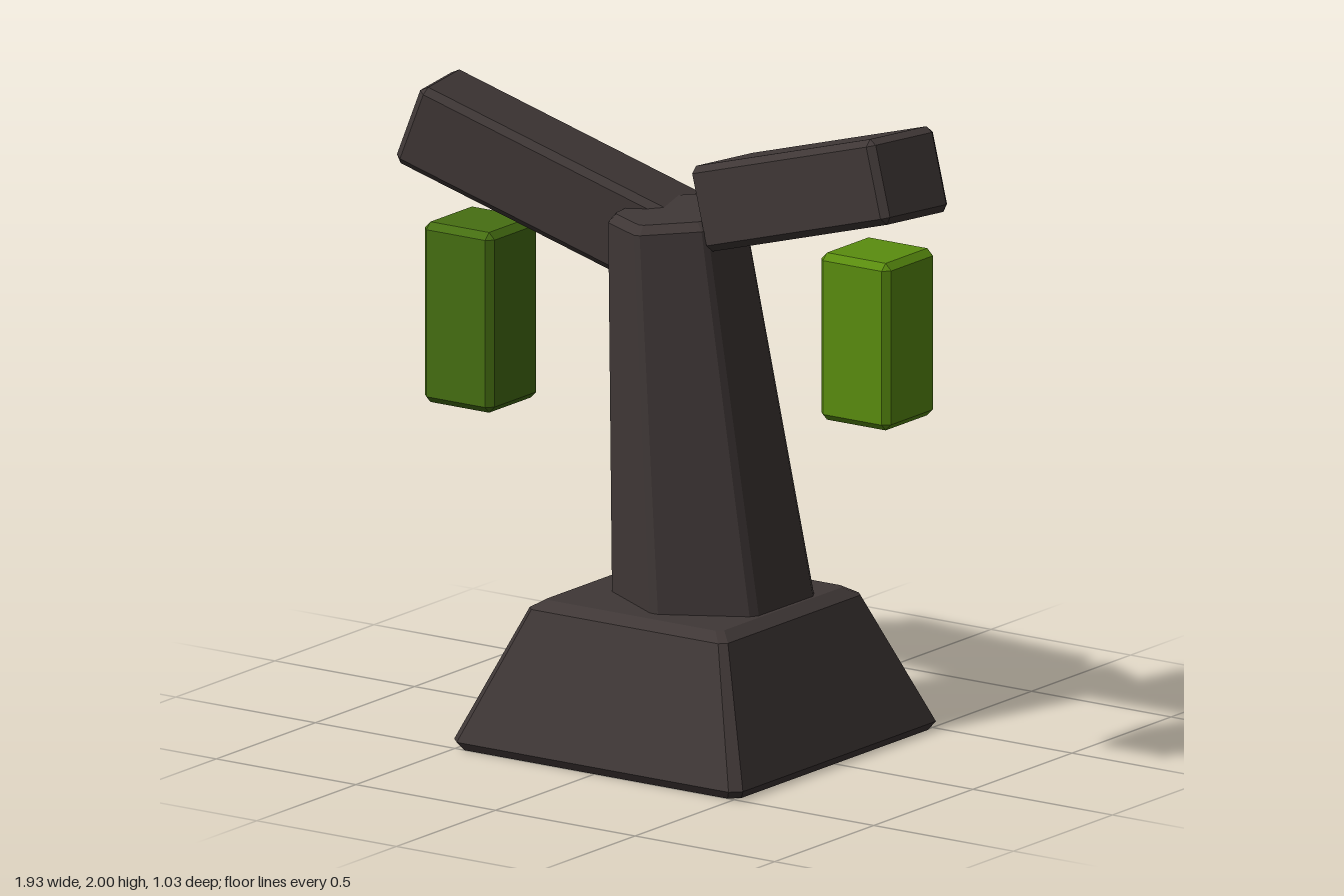
import * as THREE from 'three';
import { ConvexGeometry } from 'three/addons/geometries/ConvexGeometry.js';

const mat = (name, color) => new THREE.MeshStandardMaterial({ name, color });

// Regular polygon ring at height y, each corner cut by a small chamfer
function ring(sides, radius, y, phase, cut) {
  const points = [];
  for (let i = 0; i < sides; i++) {
    for (const s of [-1, 1]) {
      const a = phase + (i / sides) * Math.PI * 2 + s * cut;
      points.push(new THREE.Vector3(Math.sin(a) * radius, y, Math.cos(a) * radius));
    }
  }
  return points;
}

// Solid through [radius, height] rings
function taper(sides, profile, phase, cut) {
  return new ConvexGeometry(profile.flatMap(([r, y]) => ring(sides, r, y, phase, cut)));
}

// Box with chamfered edges
function bevelBox(w, h, d, b) {
  const points = [];
  for (const x of [-w / 2, w / 2]) for (const y of [-h / 2, h / 2]) for (const z of [-d / 2, d / 2]) {
    const inX = x - Math.sign(x) * b, inY = y - Math.sign(y) * b, inZ = z - Math.sign(z) * b;
    points.push(
      new THREE.Vector3(x, inY, inZ),
      new THREE.Vector3(inX, y, inZ),
      new THREE.Vector3(inX, inY, z)
    );
  }
  return new ConvexGeometry(points);
}

export function createModel() {
  const model = new THREE.Group();
  model.name = 'blockyTree';
  const bark = mat('dark bark', 0x3f3736);
  const brightGreen = mat('bright green', 0x5a8d0f);
  const deepGreen = mat('deep green', 0x466f12);

  function add(name, geometry, material, position, rotation = [0, 0, 0]) {
    const mesh = new THREE.Mesh(geometry, material);
    mesh.name = name;
    mesh.position.set(...position);
    mesh.rotation.set(...rotation, 'YXZ');
    model.add(mesh);
  }

  // Sloping square foot
  const k = 1 / Math.cos(Math.PI / 4 - 0.03);
  const foot = [[0.5, 0], [0.517, 0.025], [0.355, 0.415], [0.315, 0.44]].map(([h, y]) => [h * k, y]);
  add('base', taper(4, foot, Math.PI / 4, 0.03), bark, [0.005, 0, 0]);

  // Leaning six-sided trunk
  const trunk = [[0.298, -0.05], [0.294, 0], [0.2, 1.14], [0.175, 1.165]];
  add('trunk', taper(6, trunk, 0, 0.05), bark, [0.045, 0.44, -0.03], [0.056, 0, 0.073]);

  // Branches, raised towards their outer ends
  const deg = Math.PI / 180;
  add('leftBranch', bevelBox(0.84, 0.255, 0.26, 0.02), bark, [0.515, 1.76, 0.09], [0, -13 * deg, 17 * deg]);
  add('rightBranch', bevelBox(0.86, 0.255, 0.26, 0.02), bark, [-0.515, 1.615, 0], [0, 11 * deg, -20.3 * deg]);

  // Hanging leaf blocks
  add('leftLeafBlock', bevelBox(0.25, 0.505, 0.25, 0.02), brightGreen, [0.735, 1.36, 0.11]);
  add('rightLeafBlock', bevelBox(0.25, 0.545, 0.25, 0.02), deepGreen, [-0.767, 1.175, -0.005]);

  return model;
}
